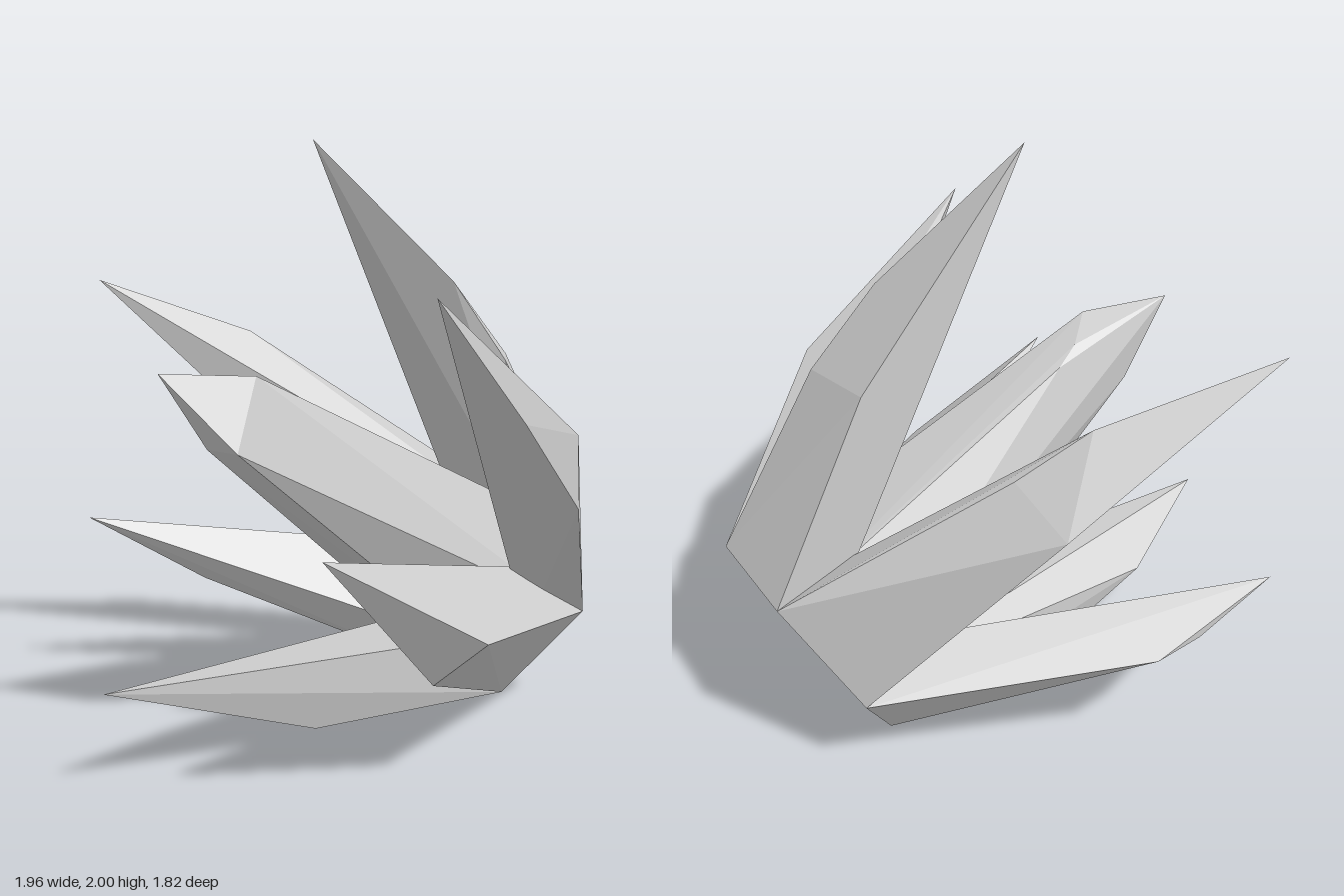
import * as THREE from 'three';
import { ConvexGeometry } from 'three/addons/geometries/ConvexGeometry.js';

const CENTRE = new THREE.Vector3(0.795, 0.34, 0.06); // middle of the tilted hexagonal base
const RADIUS = 0.43;
const INSET = 0.25; // thickness of an outer crystal at its root

// Point on the base plane: u runs up the slope, v runs along z
const onBase = (u, v) =>
  new THREE.Vector3(u * 0.5, u * 0.866, v).add(CENTRE);

// Corner k of the base hexagon, with optional scale and offset towards the axis
function corner(k, scale = 1, inset = 0, insetAngle = 0) {
  const a = Math.PI / 6 + (k * Math.PI) / 3;
  return onBase(
    RADIUS * scale * Math.cos(a) - inset * Math.cos(insetAngle),
    RADIUS * scale * Math.sin(a) - inset * Math.sin(insetAngle)
  );
}

// Root of an outer crystal: one hexagon edge and the same edge shifted inwards
function edgeRoot(k) {
  const facing = (k + 1) * Math.PI / 3;
  return [
    corner(k), corner(k + 1),
    corner(k, 1, INSET, facing), corner(k + 1, 1, INSET, facing),
  ];
}

// Faceted cap points of the six outer crystals; the last one is the tip
const outerCrystals = [
  { name: 'frontUpperCrystal', edge: 0, cap: [
    [0.42, 0.81, 0.79], [0.42, 1.05, 0.78], [0.10, 1.12, 0.86], [-0.30, 1.51, 0.90]] },
  { name: 'frontLowerCrystal', edge: 1, cap: [
    [-0.09, 0.49, 0.91], [-0.17, 0.34, 0.76], [-0.65, 0.81, 0.84]] },
  { name: 'bottomCrystal', edge: 2, cap: [
    [-0.19, 0.04, 0.20], [-0.19, 0.005, -0.04], [-0.56, 0.17, -0.02], [-0.98, 0.33, 0.20]] },
  { name: 'backLowerCrystal', edge: 3, cap: [
    [-0.06, 0.44, -0.78], [-0.07, 0.36, -0.67], [-0.22, 0.48, -0.79], [-0.49, 0.63, -0.81]] },
  { name: 'backUpperCrystal', edge: 4, cap: [
    [0.36, 1.15, -0.57], [0.31, 1.03, -0.78], [0.15, 1.31, -0.67], [-0.37, 1.51, -0.91]] },
  { name: 'topCrystal', edge: 5, cap: [
    [0.64, 1.32, -0.14], [0.64, 1.26, 0.23], [0.60, 1.24, 0.27], [0.41, 1.52, 0.20],
    [0.02, 2.00, -0.09]] },
];

// Cap of the middle crystal
const centreCap = [
  [-0.40, 1.24, 0.17], [-0.20, 1.13, 0.02], [-0.29, 1.18, 0.06],
  [-0.52, 1.01, 0.24], [-0.51, 1.00, 0.05], [-0.71, 1.26, 0.09],
];

export function createModel() {
  const group = new THREE.Group();
  group.name = 'crystalCluster';
  const material = new THREE.MeshStandardMaterial({ color: 0xcccccc, flatShading: true });

  const addCrystal = (name, root, cap) => {
    const points = [...root, ...cap.map((p) => new THREE.Vector3(...p))];
    const mesh = new THREE.Mesh(new ConvexGeometry(points), material);
    mesh.name = name;
    group.add(mesh);
  };

  // Ring of crystals, one on each edge of the hexagon
  for (const { name, edge, cap } of outerCrystals) addCrystal(name, edgeRoot(edge), cap);

  // Middle crystal on a smaller hexagon
  const centreRoot = Array.from({ length: 6 }, (_, k) => corner(k, 0.8));
  addCrystal('centreCrystal', centreRoot, centreCap);

  return group;
}
